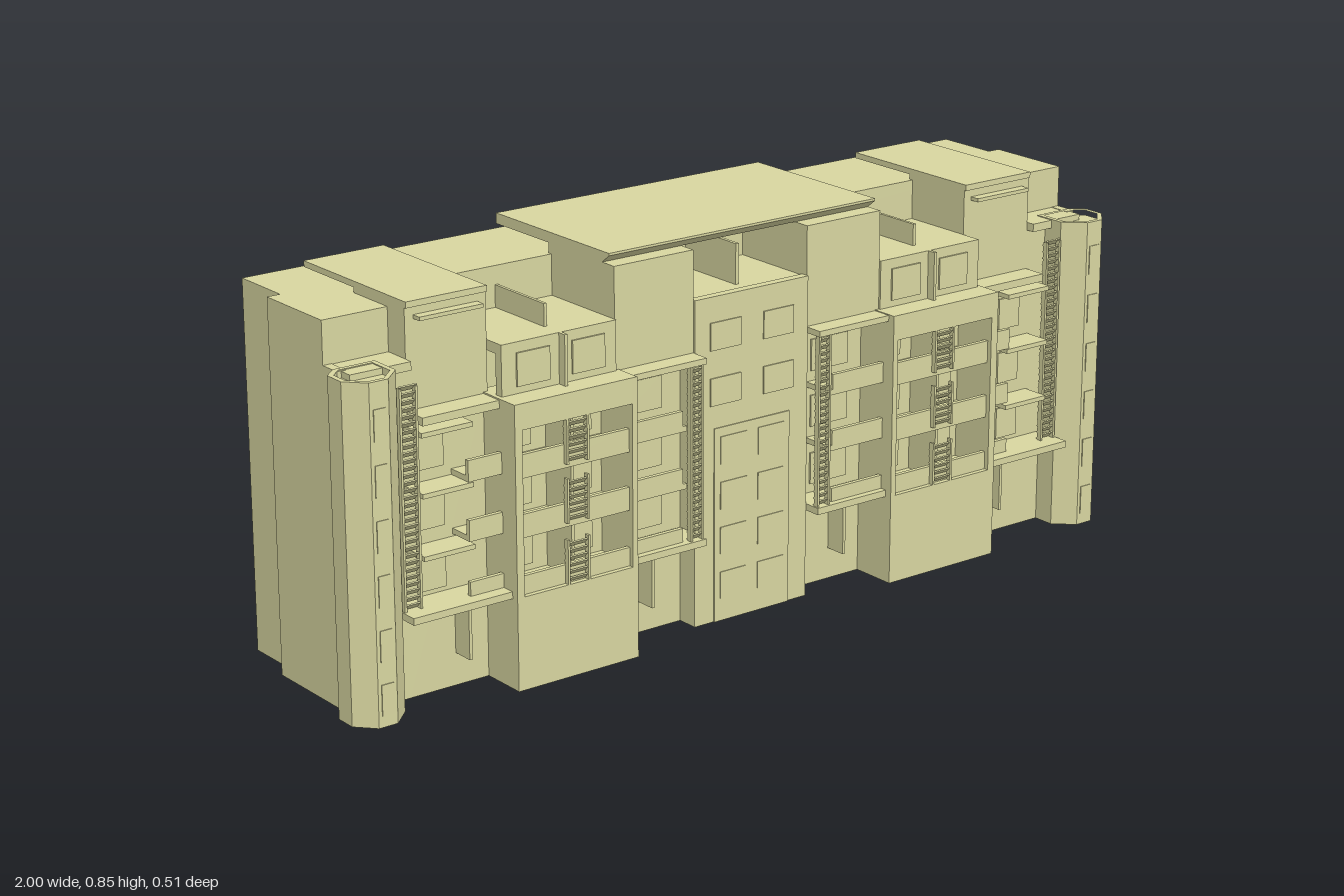
import * as THREE from 'three';

export function createModel() {
  const model = new THREE.Group();
  const stone = new THREE.MeshStandardMaterial({ color: 0xd8d6a0 });
  stone.name = 'paleStone';

  const add = (name, geometry) => {
    const mesh = new THREE.Mesh(geometry, stone);
    mesh.name = name;
    model.add(mesh);
  };
  // box given by its limits
  const box = (name, x0, x1, y0, y1, z0, z1) =>
    add(name, new THREE.BoxGeometry(x1 - x0, y1 - y0, z1 - z0)
      .translate((x0 + x1) / 2, (y0 + y1) / 2, (z0 + z1) / 2));
  // the same box on both sides
  const pair = (name, x0, x1, y0, y1, z0, z1) => {
    box(name, x0, x1, y0, y1, z0, z1);
    box(name, -x1, -x0, y0, y1, z0, z1);
  };
  // upright prism from a plan of [x, z] points
  const prism = (name, plan, y0, y1, side, hole) => {
    const points = (list) => list.map(([x, z]) => new THREE.Vector2(x * side, -z));
    const shape = new THREE.Shape(points(plan));
    if (hole) shape.holes.push(new THREE.Path(points(hole)));
    const g = new THREE.ExtrudeGeometry(shape, { depth: y1 - y0, bevelEnabled: false });
    add(name, g.rotateX(-Math.PI / 2).translate(0, y0, 0));
  };
  // louvred screen: two posts and slats tilted downwards
  const screen = (x0, x1, y0, y1, z) => {
    pair('screenPost', x0, x0 + 0.005, y0, y1, z - 0.012, z);
    pair('screenPost', x1 - 0.005, x1, y0, y1, z - 0.012, z);
    for (let y = y0 + 0.008; y < y1; y += 0.015) {
      for (const side of [-1, 1]) {
        add('screenSlat', new THREE.BoxGeometry(x1 - x0, 0.017, 0.003)
          .rotateX(Math.PI / 4).translate(side * (x0 + x1) / 2, y, z - 0.008));
      }
    }
  };
  const floors = [0.2, 0.33, 0.455];

  // main body, hollow towards the front
  box('rearBlock', -0.94, 0.94, 0, 0.8, -0.255, -0.18);
  box('rearRoof', -0.94, 0.94, 0.68, 0.8, -0.18, -0.11);
  box('roofBand', -0.97, 0.97, 0.68, 0.8, -0.11, -0.02);
  pair('rearSideWall', 0.92, 0.94, 0, 0.7, -0.18, -0.11);
  pair('sideReturn', 0.92, 0.97, 0, 0.7, -0.11, -0.095);
  pair('sideWall', 0.95, 0.97, 0, 0.7, -0.095, 0.09);
  pair('sideShoulder', 0.82, 0.97, 0.69, 0.8, -0.02, 0.09);
  pair('sideLink', 0.95, 0.97, 0, 0.709, 0.09, 0.14);
  pair('lowerShoulder', 0.82, 0.96, 0.69, 0.708, 0.09, 0.17);

  // central projection with raised entrance panel
  box('centreFront', -0.15, 0.15, 0, 0.715, 0.18, 0.2);
  pair('centreSide', 0.13, 0.15, 0, 0.7, 0.09, 0.18);
  box('centreTerrace', -0.15, 0.15, 0.69, 0.712, -0.02, 0.18);
  box('centreDivider', -0.004, 0.004, 0.7, 0.8, -0.02, 0.15);
  box('entrancePanel', -0.1, 0.1, 0, 0.43, 0.2, 0.203);
  for (const y of [0.05, 0.15, 0.25, 0.35]) {
    pair('entranceWindow', 0.015, 0.085, y, y + 0.06, 0.203, 0.205);
  }
  for (const y of [0.48, 0.6]) pair('centreWindow', 0.03, 0.11, y, y + 0.06, 0.2, 0.203);

  // central penthouse and its sloping-edged canopy
  pair('penthouse', 0.15, 0.35, 0.59, 0.822, -0.03, 0.195);
  const edge = [[-0.217, 0.822], [0.155, 0.822], [0.178, 0.84], [0.178, 0.845], [-0.217, 0.845]];
  const profile = new THREE.Shape(edge.map(([z, y]) => new THREE.Vector2(z, y)));
  add('canopy', new THREE.ExtrudeGeometry(profile, { depth: 0.7, bevelEnabled: false })
    .rotateY(-Math.PI / 2).translate(0.35, 0, 0));

  // outer penthouses with thin roof slabs
  pair('outerPenthouse', 0.63, 0.82, 0.59, 0.813, -0.03, 0.15);
  pair('outerRoof', 0.63, 0.82, 0.811, 0.824, -0.215, 0.155);
  pair('outerBrow', 0.65, 0.8, 0.786, 0.794, 0.15, 0.172);

  // terraces between the penthouses
  pair('terraceFloor', 0.35, 0.63, 0.69, 0.712, -0.02, 0.18);
  pair('terraceFront', 0.35, 0.63, 0.59, 0.712, 0.18, 0.2);
  pair('terraceDivider', 0.484, 0.491, 0.7, 0.76, -0.02, 0.15);
  pair('terraceFin', 0.484, 0.491, 0.605, 0.712, 0.2, 0.22);
  pair('terraceDoor', 0.38, 0.46, 0.62, 0.69, 0.2, 0.204);
  pair('terraceDoor', 0.515, 0.595, 0.62, 0.69, 0.2, 0.204);

  // projecting balcony bays
  pair('bayBase', 0.34, 0.64, 0, 0.2, 0.237, 0.257);
  for (const [a, b] of [[0.34, 0.353], [0.622, 0.64]]) {
    pair('baySide', a, b, 0, 0.605, 0.09, 0.257);
  }
  pair('bayBack', 0.353, 0.622, 0.2, 0.6, 0.13, 0.15);
  pair('bayTop', 0.34, 0.64, 0.55, 0.605, 0.235, 0.257);
  pair('bayRoof', 0.34, 0.64, 0.585, 0.605, 0.13, 0.24);
  for (const y of floors) {
    pair('bayFloor', 0.35, 0.63, y - 0.01, y + 0.005, 0.14, 0.246);
    pair('bayParapet', 0.35, 0.63, y - 0.01, y + 0.04, 0.236, 0.246);
    pair('bayDivider', 0.484, 0.491, y, y + 0.125, 0.15, 0.236);
    pair('bayWindow', 0.38, 0.45, y + 0.02, y + 0.1, 0.15, 0.154);
    pair('bayWindow', 0.53, 0.6, y + 0.02, y + 0.1, 0.15, 0.154);
    screen(0.46, 0.515, y, y + 0.095, 0.257);
  }

  // inner balconies beside the centre
  pair('innerWall', 0.15, 0.34, 0, 0.6, 0.13, 0.15);
  pair('innerGroundFin', 0.255, 0.262, 0.07, 0.2, 0.15, 0.2);
  pair('innerCornice', 0.15, 0.34, 0.59, 0.603, 0.14, 0.24);
  pair('innerShelf', 0.15, 0.34, 0.195, 0.21, 0.14, 0.24);
  for (const y of floors) {
    pair('innerFloor', 0.19, 0.34, y - 0.005, y + 0.007, 0.14, 0.225);
    pair('innerParapet', 0.2, 0.34, y, y + 0.04, 0.215, 0.225);
    pair('innerWindow', 0.2, 0.3, y + 0.03, y + 0.1, 0.15, 0.154);
  }
  screen(0.153, 0.187, 0.21, 0.59, 0.235);

  // outer balconies beside the corner towers
  pair('outerWall', 0.64, 0.83, 0, 0.6, 0.13, 0.15);
  pair('outerEnd', 0.82, 0.88, 0, 0.7, 0.13, 0.15);
  pair('outerGroundFin', 0.712, 0.719, 0.07, 0.2, 0.15, 0.2);
  pair('outerCornice', 0.63, 0.82, 0.585, 0.602, 0.14, 0.205);
  pair('outerShelf', 0.64, 0.875, 0.195, 0.21, 0.14, 0.24);
  for (const y of floors) {
    pair('outerParapet', 0.64, 0.72, y, y + 0.04, 0.2, 0.21);
    pair('outerFloor', 0.64, 0.72, y - 0.005, y + 0.007, 0.14, 0.21);
    pair('outerLedge', 0.71, 0.83, y + 0.11, y + 0.12, 0.14, 0.215);
    pair('outerWindow', 0.74, 0.8, y + 0.02, y + 0.09, 0.15, 0.154);
  }
  screen(0.83, 0.872, 0.21, 0.67, 0.205);

  // corner towers with a low rim round the top
  const plan = [[0.875, 0.125], [0.97, 0.125], [0.999, 0.152], [0.999, 0.2],
    [0.962, 0.24], [0.918, 0.24], [0.875, 0.2]];
  const inner = plan.map(([x, z]) => [0.937 + (x - 0.937) * 0.82, 0.182 + (z - 0.182) * 0.82]);
  for (const side of [-1, 1]) {
    prism('cornerTower', plan, 0, 0.695, side);
    prism('towerRim', plan, 0.695, 0.71, side, inner);
  }
  for (let i = 0; i < 6; i++) {
    const y = 0.025 + i * 0.113;
    pair('towerWindow', 0.926, 0.954, y, y + 0.065, 0.24, 0.242);
  }

  return model;
}
